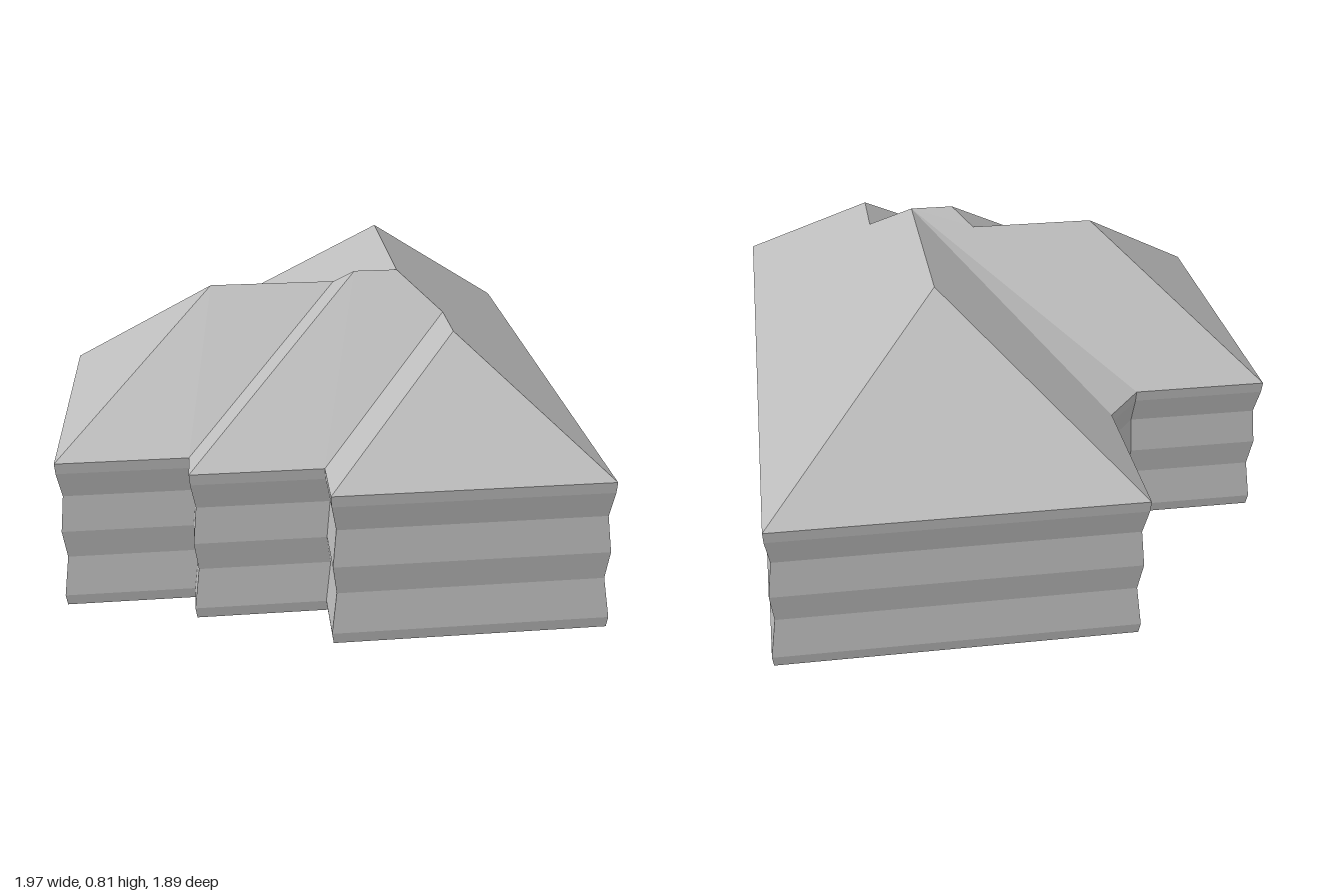
import * as THREE from 'three';

const EAVE = 0.43, BASE = 0.01, PITCH = 0.8125;

// Plan coordinates: u runs along the long wall, v runs from it to the rear.
const place = (u, v, y) => [-0.04 + 0.624 * u - 0.782 * v, y, 0.94 - 0.782 * u - 0.624 * v];

// Wall outline, counter-clockwise in plan
const footprint = [
  [0, 0], [1.65, 0], [1.65, 0.96], [1.24, 0.96], [1.13, 1.06], [1.13, 1.43],
  [0.28, 1.43], [0.28, 1.08], [0.17, 1.08], [0.17, 0.73], [0, 0.73],
];

// Roof slopes as [u, v, distance in from the eave]
const slopes = {
  frontSlope: [[0, 0, 0], [1.65, 0, 0], [1.17, 0.48, 0.48], [0.65, 0.48, 0.48], [0.535, 0.365, 0.365], [0.365, 0.365, 0.365]],
  lowHip: [[0, 0.73, 0], [0, 0, 0], [0.365, 0.365, 0.365]],
  lowRearSlope: [[0, 0.73, 0], [0.365, 0.365, 0.365], [0.535, 0.365, 0.365], [0.17, 0.73, 0]],
  middleHip: [[0.17, 0.73, 0], [0.535, 0.365, 0.365], [0.65, 0.48, 0.48], [0.65, 0.6, 0.48], [0.17, 1.08, 0]],
  middleRearSlope: [[0.17, 1.08, 0], [0.65, 0.6, 0.48], [0.705, 0.655, 0.425], [0.28, 1.08, 0]],
  wingOuterSlope: [[0.28, 1.08, 0], [0.705, 0.655, 0.425], [0.705, 1.005, 0.425], [0.28, 1.43, 0]],
  wingHip: [[0.28, 1.43, 0], [0.705, 1.005, 0.425], [1.13, 1.43, 0]],
  wingInnerSlope: [[1.13, 1.43, 0], [0.705, 1.005, 0.425], [0.705, 0.655, 0.425], [0.65, 0.6, 0.48], [0.65, 0.48, 0.48], [1.13, 1.06, 0]],
  valley: [[1.13, 1.06, 0], [0.65, 0.48, 0.48], [1.24, 0.96, 0]],
  mainRearSlope: [[1.24, 0.96, 0], [0.65, 0.48, 0.48], [1.17, 0.48, 0.48], [1.65, 0.96, 0]],
  mainHip: [[1.65, 0.96, 0], [1.17, 0.48, 0.48], [1.65, 0, 0]],
};

// Flat facet filled over its plan outline, facing up or down
function facet(points, heightAt, up = true) {
  const plan = points.map(p => new THREE.Vector2(p[0], p[1]));
  if (THREE.ShapeUtils.isClockWise(plan)) {
    plan.reverse();
    points = [...points].reverse();
  }
  const pos = [];
  for (const [a, b, c] of THREE.ShapeUtils.triangulateShape(plan, [])) {
    const ccw = THREE.ShapeUtils.area([plan[a], plan[b], plan[c]]) > 0;
    for (const i of ccw === up ? [a, b, c] : [a, c, b]) {
      pos.push(...place(points[i][0], points[i][1], heightAt(points[i])));
    }
  }
  return toGeometry(pos);
}

function toGeometry(pos) {
  const g = new THREE.BufferGeometry();
  g.setAttribute('position', new THREE.Float32BufferAttribute(pos, 3));
  g.computeVertexNormals();
  return g;
}

// Outline moved inwards with mitred corners
function insetOutline(outline, amount) {
  const n = outline.length;
  const normal = i => {
    const [a, b] = [outline[i % n], outline[(i + 1) % n]];
    return new THREE.Vector2(a[1] - b[1], b[0] - a[0]).normalize();
  };
  return outline.map(([u, v], i) => {
    const n1 = normal(i + n - 1), n2 = normal(i);
    const k = amount / (1 + n1.dot(n2));
    return [u + (n1.x + n2.x) * k, v + (n1.y + n2.y) * k];
  });
}

// Walls lofted through rings that draw in slightly between base and eave
function wallGeometry() {
  const rings = [[BASE, 0.004], [0.04, 0], [0.15, 0.014], [0.23, 0.004], [0.33, 0.014], [0.4, 0.002], [EAVE, 0]]
    .map(([y, inset]) => insetOutline(footprint, inset).map(([u, v]) => place(u, v, y)));
  const pos = [];
  for (let r = 0; r < rings.length - 1; r++) {
    for (let i = 0; i < footprint.length; i++) {
      const j = (i + 1) % footprint.length;
      const [a, b, c, d] = [rings[r][i], rings[r][j], rings[r + 1][j], rings[r + 1][i]];
      pos.push(...a, ...b, ...c, ...a, ...c, ...d);
    }
  }
  return toGeometry(pos);
}

export function createModel() {
  const model = new THREE.Group();
  model.name = 'house';
  const grey = new THREE.MeshStandardMaterial({ color: 0xbcbcbc });
  grey.name = 'plain grey';

  const add = (parent, name, geometry) => {
    const mesh = new THREE.Mesh(geometry, grey);
    mesh.name = name;
    parent.add(mesh);
  };

  add(model, 'walls', wallGeometry());
  add(model, 'floor', facet(insetOutline(footprint, 0.004), () => BASE, false));

  const roof = new THREE.Group();
  roof.name = 'roof';
  for (const [name, points] of Object.entries(slopes)) {
    add(roof, name, facet(points, p => EAVE + PITCH * p[2]));
  }
  model.add(roof);
  return model;
}
